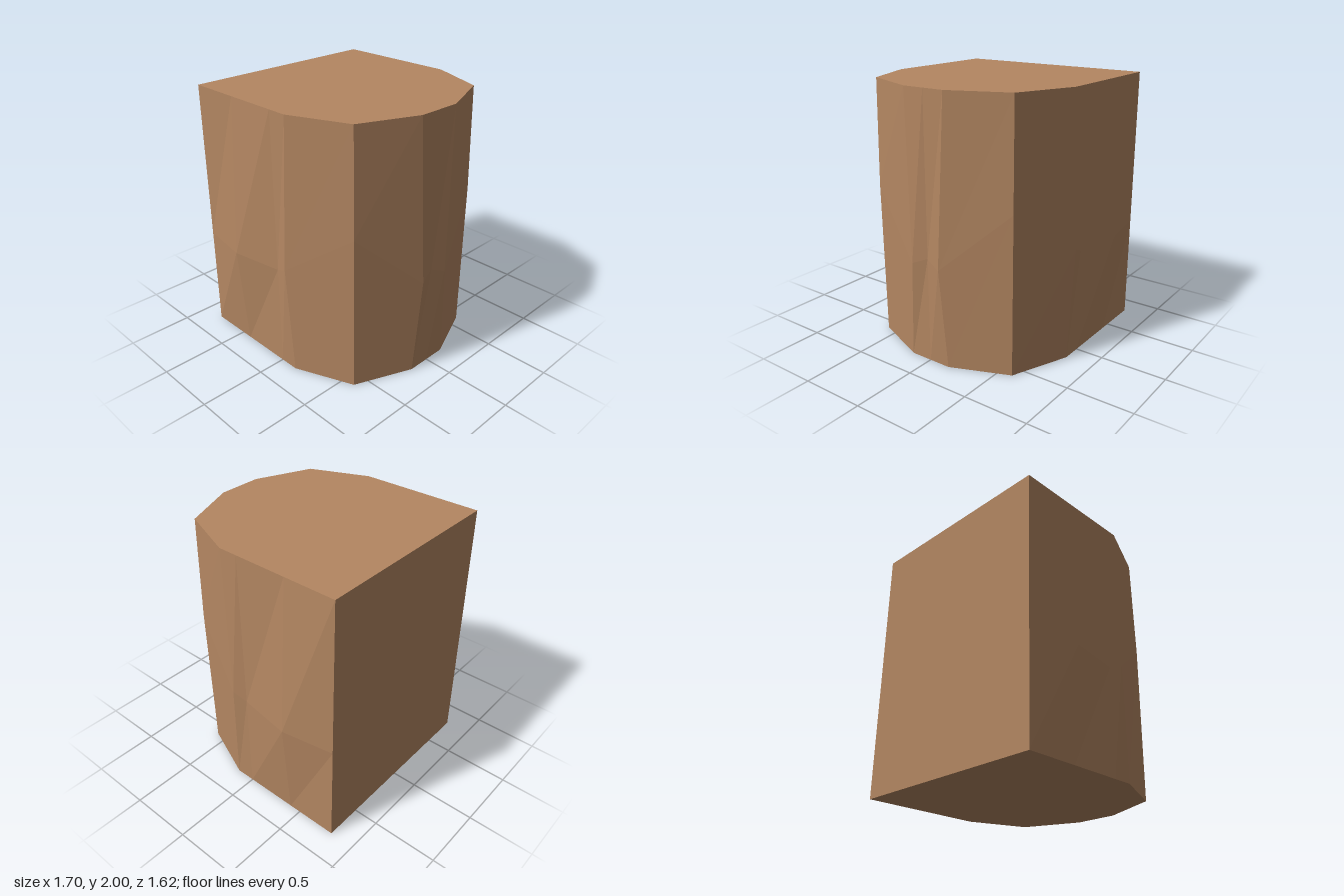
import * as THREE from 'three';

// Bark columns of one half, back to front: end point (x, z), bulged point (x, z) and its height
const HALF = [
  [0.785, -0.81, 0.785, -0.81, 0.8],
  [0.785, -0.41, 0.85, -0.41, 0.8],
  [0.785, 0.0, 0.785, 0.0, 0.8],
  [0.785, 0.15, 0.81, 0.11, 0.85],
  [0.605, 0.595, 0.612, 0.605, 1.2],
  [0.17, 0.775, 0.12, 0.805, 0.75],
];
const FRONT = [0, 0.775, 0, 0.775, 0.8];
const HEIGHT = 2;

function makeGeometry(triangles) {
  const geometry = new THREE.BufferGeometry();
  geometry.setAttribute('position', new THREE.Float32BufferAttribute(triangles.flat(2), 3));
  geometry.computeVertexNormals();
  return geometry;
}

export function createModel() {
  const group = new THREE.Group();
  group.name = 'splitLog';
  const wood = new THREE.MeshStandardMaterial({ color: 0xb48762, flatShading: true });
  wood.name = 'wood';

  const mirrored = HALF.map(([x, z, bx, bz, y]) => [-x, z, -bx, bz, y]).reverse();
  const columns = [...HALF, FRONT, ...mirrored];
  const rings = [
    columns.map(([x, z]) => [x, 0, z]),
    columns.map(([, , x, z, y]) => [x, y, z]),
    columns.map(([x, z]) => [x, HEIGHT, z]),
  ];

  // Bulging bark and the flat split back
  const bark = [], back = [];
  const n = columns.length;
  for (let r = 0; r < 2; r++) {
    for (let i = 0; i < n; i++) {
      const j = (i + 1) % n;
      const [lo, up] = [rings[r], rings[r + 1]];
      (j === 0 ? back : bark).push([lo[i], up[i], lo[j]], [lo[j], up[i], up[j]]);
    }
  }

  // Flat cut ends
  const top = [], bottom = [];
  for (let i = 0; i < n; i++) {
    const j = (i + 1) % n;
    top.push([[0, HEIGHT, 0], rings[2][j], rings[2][i]]);
    bottom.push([[0, 0, 0], rings[0][i], rings[0][j]]);
  }

  const parts = { bark, splitBack: back, topCut: top, bottomCut: bottom };
  for (const [name, triangles] of Object.entries(parts)) {
    const mesh = new THREE.Mesh(makeGeometry(triangles), wood);
    mesh.name = name;
    group.add(mesh);
  }
  return group;
}
